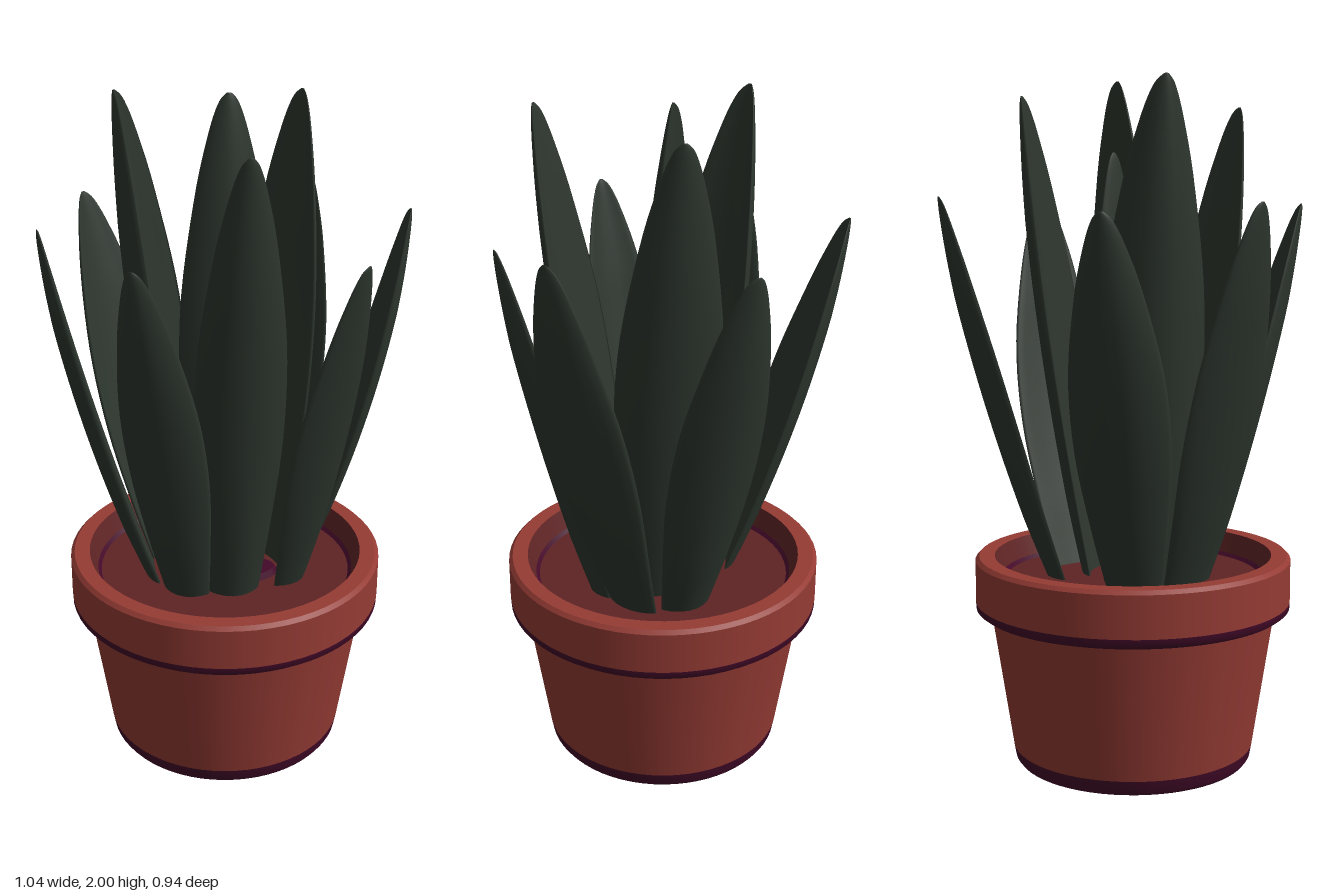
import * as THREE from 'three';

const mat = (name, color, side = THREE.FrontSide) => {
  const m = new THREE.MeshStandardMaterial({ color, side });
  m.name = name;
  return m;
};

// Relative half width of a leaf along its length (x = length, y = width)
const widthCurve = new THREE.SplineCurve([
  [0, 0.55], [0.2, 0.8], [0.4, 0.98], [0.6, 0.95], [0.8, 0.67], [0.92, 0.4], [0.98, 0.2], [1, 0.04],
].map(([x, y]) => new THREE.Vector2(x, y)));

// Thick pointed leaf: lens-shaped rings, hollowed towards the middle of the plant
function leafGeometry({ base, tip, facing, width, curl = 0.4, bulge = 0.04 }) {
  const rows = 32, sides = 18, thick = 0.02;
  const a = THREE.MathUtils.degToRad(facing); // 0 = front, 90 = left (+x)
  const out = new THREE.Vector3(Math.sin(a), 0, Math.cos(a));
  const side = new THREE.Vector3(Math.cos(a), 0, -Math.sin(a));
  const b = new THREE.Vector3(...base), e = new THREE.Vector3(...tip);
  const mid = b.clone().lerp(e, 0.5).addScaledVector(out, bulge);
  const spine = new THREE.QuadraticBezierCurve3(b, mid, e);
  const pos = [], index = [];
  for (let i = 0; i <= rows; i++) {
    const p = widthCurve.getPoint(i / rows);
    const c = spine.getPoint(Math.min(1, p.x));
    const w = width * p.y, th = thick * Math.min(1, p.y * 1.3);
    for (let j = 0; j < sides; j++) {
      const q = (j / sides) * Math.PI * 2, k = Math.cos(q);
      const v = c.clone().addScaledVector(side, k * w)
        .addScaledVector(out, -Math.sin(q) * th - curl * k * k * w);
      pos.push(v.x, v.y, v.z);
      if (i < rows) {
        const n = (j + 1) % sides, r = i * sides, s = r + sides;
        index.push(r + j, r + n, s + n, r + j, s + n, s + j);
      }
    }
  }
  // Close the tip
  const last = rows * sides;
  for (let j = 1; j < sides - 1; j++) index.push(last, last + j, last + j + 1);
  const g = new THREE.BufferGeometry();
  g.setAttribute('position', new THREE.Float32BufferAttribute(pos, 3));
  g.setIndex(index);
  g.computeVertexNormals();
  return g;
}

export function createModel() {
  const model = new THREE.Group();
  model.name = 'pottedPlant';
  const clay = mat('terracotta', 0x953b34);
  const soilMat = mat('darkSoil', 0x5e2425);
  const plum = mat('plumShadow', 0x430a29);
  const green = mat('leafGreen', 0x2d362e, THREE.DoubleSide);

  const add = (parent, name, geometry, material) => {
    const m = new THREE.Mesh(geometry, material);
    m.name = name;
    parent.add(m);
    return m;
  };

  // Pot: one lathe per facet so the edges stay crisp
  const pot = new THREE.Group();
  pot.name = 'pot';
  model.add(pot);
  const ring = (name, material, ...pts) =>
    add(pot, name, new THREE.LatheGeometry(pts.map(([r, y]) => new THREE.Vector2(r, y)), 64), material);
  ring('potUnderside', green, [0, 0], [0.345, 0]);
  ring('footBand', plum, [0.345, 0], [0.354, 0.012], [0.36, 0.045]);
  ring('potWall', clay, [0.36, 0.045], [0.424, 0.46]);
  ring('rimUnderside', plum, [0.424, 0.46], [0.455, 0.458]);
  ring('rimLowerBand', plum, [0.455, 0.458], [0.468, 0.468], [0.469, 0.488]);
  ring('rimWall', clay, [0.469, 0.488], [0.469, 0.612]);
  ring('rimBevel', clay, [0.469, 0.612], [0.458, 0.623]);
  ring('rimTop', clay, [0.458, 0.623], [0.412, 0.623]);
  ring('rimInside', soilMat, [0.412, 0.623], [0.388, 0.565]);
  ring('soilEdge', plum, [0.388, 0.565], [0.378, 0.555]);
  ring('soil', soilMat, [0.378, 0.555], [0, 0.555]);

  // Dark crown at the foot of the leaves
  const crown = add(model, 'crown', new THREE.CylinderGeometry(0.15, 0.17, 0.03, 24), plum);
  crown.position.set(-0.01, 0.56, 0.06);
  crown.scale.z = 0.45;

  // Leaves
  const leaves = new THREE.Group();
  leaves.name = 'leaves';
  model.add(leaves);
  const y = 0.53;
  const specs = {
    frontLeaf: { base: [0, y, 0.17], tip: [-0.015, 1.945, 0.42], facing: 0, width: 0.13 },
    frontRightLeaf: { base: [-0.15, y, 0.14], tip: [-0.315, 1.655, 0.375], facing: -32, width: 0.125 },
    frontLeftLeaf: { base: [0.19, y, 0.12], tip: [0.32, 1.62, 0.35], facing: 42, width: 0.125 },
    rightLeaf: { base: [-0.22, y, 0], tip: [-0.52, 1.66, 0], facing: -90, width: 0.13, curl: 0.2, bulge: 0.07 },
    leftLeaf: { base: [0.235, y, -0.02], tip: [0.515, 1.68, 0.07], facing: 82, width: 0.145, curl: 0.2, bulge: 0.08 },
    backRightLeaf: { base: [-0.16, y, -0.14], tip: [-0.35, 1.635, -0.42], facing: -142, width: 0.14, bulge: 0.06 },
    backLeftLeaf: { base: [0.16, y, -0.17], tip: [0.34, 1.675, -0.445], facing: 146, width: 0.14, bulge: 0.06 },
    innerRightLeaf: { base: [-0.14, y, -0.03], tip: [-0.285, 2, -0.13], facing: -112, width: 0.16, curl: 0.6 },
    innerLeftLeaf: { base: [0.14, y, -0.05], tip: [0.265, 1.965, -0.2], facing: 122, width: 0.15, curl: 0.35 },
    centreLeaf: { base: [0.01, y, 0.03], tip: [0.02, 2, -0.04], facing: 0, width: 0.145, curl: 0.35, bulge: 0.06 },
    centreRidge: { base: [0, y, -0.06], tip: [0.015, 1.8, -0.06], facing: 90, width: 0.1, curl: 0.1, bulge: 0 },
  };
  for (const [name, spec] of Object.entries(specs)) add(leaves, name, leafGeometry(spec), green);

  return model;
}
